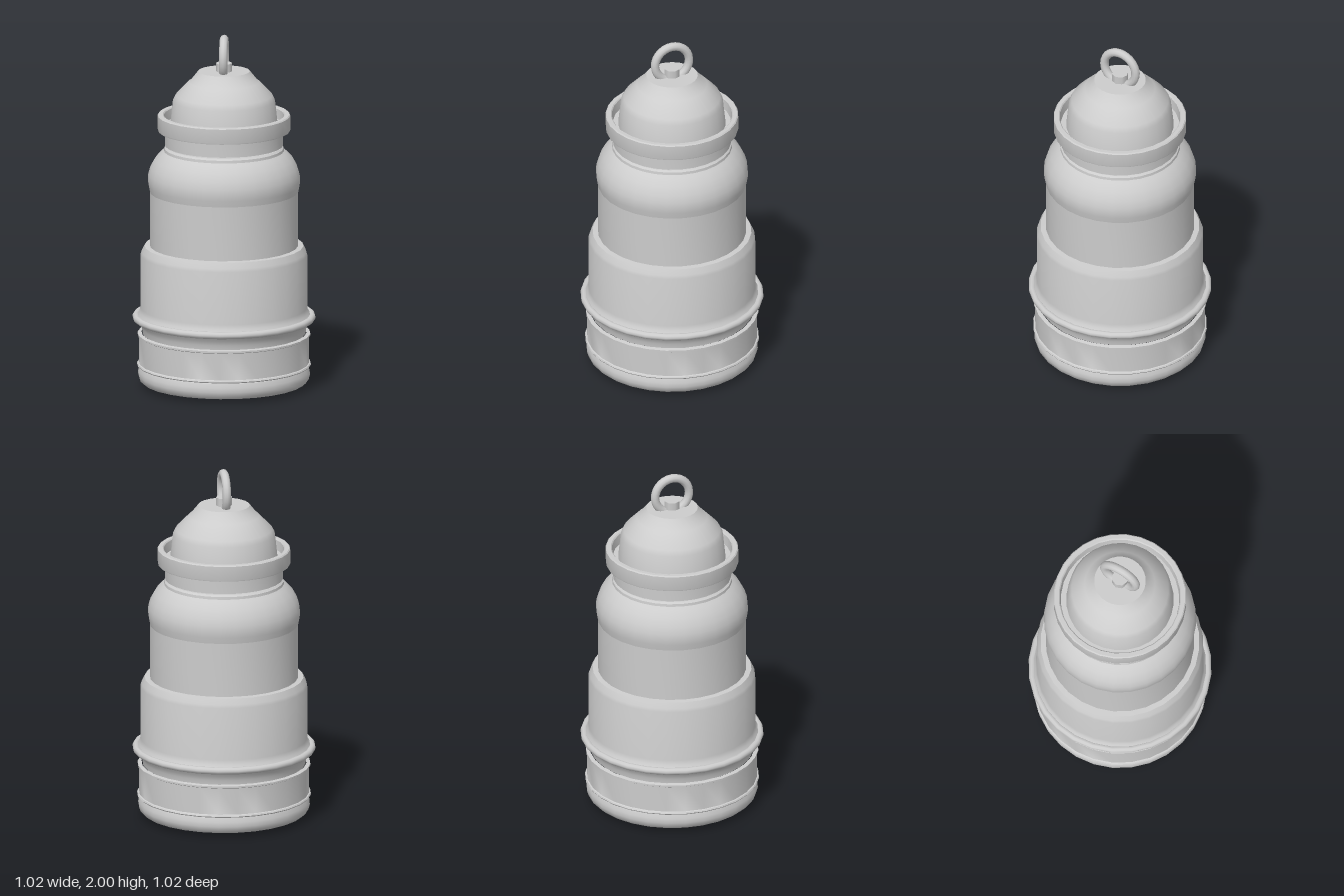
import * as THREE from 'three';
import { toCreasedNormals } from 'three/addons/utils/BufferGeometryUtils.js';

const SIDES = 28;

export function createModel() {
  const model = new THREE.Group();
  model.name = 'lantern';
  const metal = new THREE.MeshStandardMaterial({ color: 0xcccccc });
  metal.name = 'light grey';

  // Adds one turned part; points are [radius, height] along the outside from the bottom up
  function turned(name, points) {
    const profile = points.map(([r, y]) => new THREE.Vector2(r, y));
    const geometry = toCreasedNormals(new THREE.LatheGeometry(profile, SIDES), 0.6);
    return add(name, geometry);
  }

  function add(name, geometry) {
    const mesh = new THREE.Mesh(geometry, metal);
    mesh.name = name;
    model.add(mesh);
    return mesh;
  }

  // Foot plug set in the hollow underside
  turned('footPlug', [[0, 0], [0.33, 0], [0.33, 0.08]]);

  // Rounded bottom ring with its underside recess
  turned('bottomRing', [
    [0.32, 0.07], [0.38, 0.07], [0.385, 0.045], [0.405, 0.026], [0.43, 0.02], [0.455, 0.024],
    [0.472, 0.04], [0.479, 0.065], [0.478, 0.09], [0.468, 0.115], [0.46, 0.12],
  ]);

  // Base band with a small bead at each end
  turned('baseBand', [
    [0.46, 0.118], [0.482, 0.12], [0.486, 0.126], [0.482, 0.133], [0.475, 0.136],
    [0.475, 0.288], [0.482, 0.292], [0.482, 0.302], [0.46, 0.306],
  ]);

  // Flared groove under the bumper
  turned('grooveFlare', [[0.455, 0.303], [0.458, 0.33], [0.468, 0.355], [0.485, 0.38]]);

  // Bumper bead round the widest point
  const bumper = add('bumper', new THREE.TorusGeometry(0.491, 0.02, 10, SIDES));
  bumper.rotation.x = Math.PI / 2;
  bumper.position.y = 0.395;

  // Lower sleeve with a sloped shoulder
  turned('lowerSleeve', [
    [0.485, 0.405], [0.471, 0.425], [0.465, 0.45], [0.465, 0.75],
    [0.459, 0.768], [0.443, 0.8], [0.41, 0.803],
  ]);

  // Straight middle barrel
  turned('barrel', [[0.414, 0.79], [0.414, 1.112]]);

  // Bulging shoulder narrowing to the neck
  turned('shoulder', [
    [0.414, 1.11], [0.421, 1.145], [0.425, 1.175], [0.422, 1.21], [0.41, 1.25],
    [0.385, 1.295], [0.352, 1.33], [0.335, 1.343], [0.333, 1.358], [0.322, 1.367], [0.29, 1.367],
  ]);

  // Neck and open collar with a groove around the dome
  turned('collar', [
    [0.29, 1.375], [0.33, 1.375], [0.33, 1.458], [0.368, 1.458], [0.37, 1.464],
    [0.37, 1.544], [0.364, 1.55], [0.342, 1.55], [0.336, 1.544], [0.33, 1.49], [0.28, 1.49],
  ]);

  // Domed cap with a stepped top
  turned('cap', [
    [0.3, 1.49], [0.285, 1.63], [0.27, 1.66], [0.196, 1.736], [0.188, 1.74],
    [0.144, 1.796], [0, 1.796],
  ]);

  // Stud and hanging ring
  const stud = add('stud', new THREE.CylinderGeometry(0.046, 0.046, 0.06, 8));
  stud.position.y = 1.812;
  const ring = add('hangingRing', new THREE.TorusGeometry(0.102, 0.024, 10, 28));
  ring.rotation.y = Math.PI / 2;
  ring.position.y = 1.874;

  return model;
}
